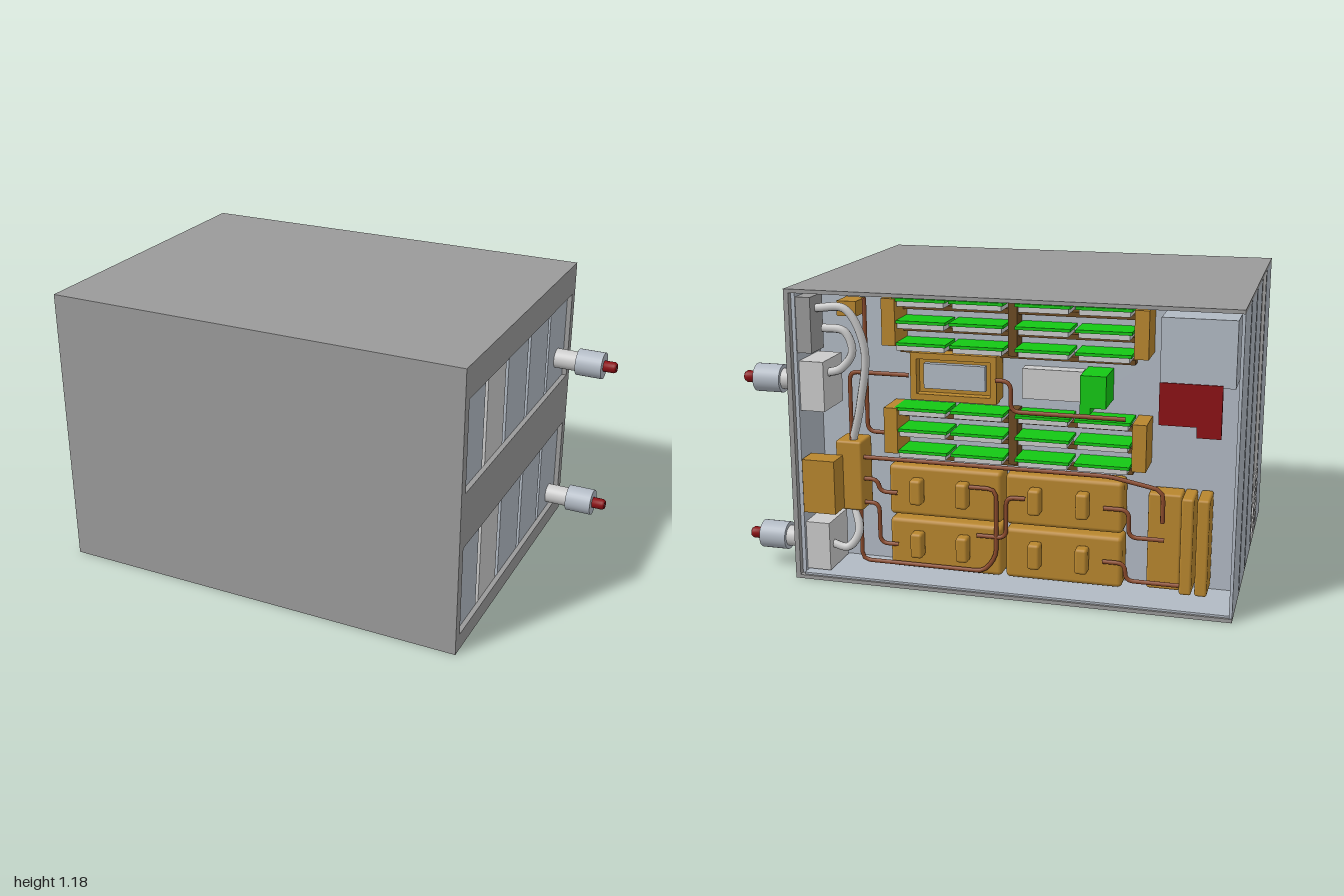
import * as THREE from 'three';
import { RoundedBoxGeometry } from 'three/addons/geometries/RoundedBoxGeometry.js';

const mat = (color) => new THREE.MeshStandardMaterial({ color });

export function createModel() {
  const root = new THREE.Group();
  const M = {
    shell: mat(0x9a9a9a), grey: mat(0xcccccc), steel: mat(0xb2bac4), gold: mat(0xb8862e),
    green: mat(0x14c814), copper: mat(0x8a4a2c), red: mat(0x8b1014), brown: mat(0x6b4a22),
  };
  const add = (name, geo, m, parent = root) => {
    const mesh = new THREE.Mesh(geo, m);
    mesh.name = name;
    parent.add(mesh);
    return mesh;
  };
  // box from its min and max corners, with optional rounding
  const box = (name, m, x0, x1, y0, y1, z0, z1, r = 0) => {
    const s = [x1 - x0, y1 - y0, z1 - z0];
    const g = r ? new RoundedBoxGeometry(...s, 2, r) : new THREE.BoxGeometry(...s);
    return add(name, g.translate((x0 + x1) / 2, (y0 + y1) / 2, (z0 + z1) / 2), m);
  };
  // pipe through a few points, with tight rounded corners
  const pipe = (name, m, pts, r, smooth = false) => {
    const p = pts.map((a) => new THREE.Vector3(...a));
    let curve;
    if (smooth) curve = new THREE.CatmullRomCurve3(p);
    else {
      curve = new THREE.CurvePath();
      let from = p[0];
      for (let i = 1; i < p.length - 1; i++) {
        const a = p[i].clone().add(p[i - 1].clone().sub(p[i]).setLength(0.035));
        const b = p[i].clone().add(p[i + 1].clone().sub(p[i]).setLength(0.035));
        curve.add(new THREE.LineCurve3(from, a));
        curve.add(new THREE.QuadraticBezierCurve3(a, p[i], b));
        from = b;
      }
      curve.add(new THREE.LineCurve3(from, p[p.length - 1]));
    }
    return add(name, new THREE.TubeGeometry(curve, 48, r, 8), m);
  };

  // outer shell: top, bottom, front wall
  const X0 = -1, X1 = 0.755, H = 1.185, D = 0.65, T = 0.015;
  box('topPanel', M.shell, X0, X1, H - T, H, -D, D);
  box('bottomPanel', M.shell, X0, X1, 0, T, -D, D);
  box('frontPanel', M.shell, X0, X1, T, H - T, D - T, D);

  // side frame with two window openings
  const frame = new THREE.Shape([[-D, 0], [D, 0], [D, H], [-D, H]].map((p) => new THREE.Vector2(...p)));
  for (const [a, b] of [[0.07, 0.45], [0.68, 1.055]]) {
    frame.holes.push(new THREE.Path([[-0.61, a], [-0.61, b], [0.61, b], [0.61, a]].map((p) => new THREE.Vector2(...p))));
  }
  const frameGeo = new THREE.ExtrudeGeometry(frame, { depth: 0.02, bevelEnabled: false });
  add('sideFrame', frameGeo.rotateY(Math.PI / 2).translate(X1 - 0.02, 0, 0), M.shell);

  // four closed modules with see-through gaps between them
  const slots = [[0.39, 0.63], [0.165, 0.36], [-0.1, 0.135], [-0.36, -0.13]];
  slots.forEach(([a, b], i) => box('module', i === 1 ? M.grey : M.steel, X0, 0.735, T, H - T, a, b));

  // vent tiles on the second module
  for (let i = 0; i < 3; i++) for (let j = 0; j < 4; j++) {
    const z = 0.178 + i * 0.06, y = 0.06 + j * 0.068;
    box('ventTile', M.grey, X0 - 0.006, X0, y, y + 0.05, z, z + 0.045);
  }

  // open module: back plate, end panels and floor
  box('trayPlate', M.steel, X0, 0.735, T, H - T, -0.395, -0.385);
  box('trayEndPanel', M.steel, X0, X0 + 0.012, T, H - T, -0.645, -0.395);
  box('trayEndPanel', M.steel, 0.72, 0.735, T, H - T, -0.625, -0.395);
  box('trayFloor', M.steel, X0 + 0.012, 0.72, T, T + 0.008, -0.64, -0.395);

  // side connectors: stub, collar, red plug, and the socket behind them
  for (const [y, z] of [[0.795, -0.51], [0.13, -0.525]]) {
    const g = new THREE.Group();
    g.name = 'connector';
    g.position.set(0, y, z);
    root.add(g);
    const ring = (name, m, r, x0, x1) => add(name,
      new THREE.CylinderGeometry(r, r, x1 - x0, 32).rotateZ(-Math.PI / 2).translate((x0 + x1) / 2, 0, 0), m, g);
    ring('stub', M.grey, 0.042, 0.72, 0.832);
    ring('collar', M.steel, 0.057, 0.832, 0.945);
    const plug = [[0, 0.94], [0.024, 0.94], [0.024, 0.99], [0.018, 1], [0.009, 1], [0.009, 0.975], [0, 0.975]];
    add('plug', new THREE.LatheGeometry(plug.map((p) => new THREE.Vector2(...p)), 24).rotateZ(-Math.PI / 2), M.red, g);
    add('plugCore', new THREE.CylinderGeometry(0.009, 0.009, 0.022, 12).rotateZ(Math.PI / 2).translate(0.987, 0, 0), M.grey, g);
    box('socket', M.grey, 0.62, 0.72, y - 0.1, y + 0.1, -0.61, -0.42);
  }
  box('upperSocketCover', M.shell, 0.66, 0.72, 0.93, 1.15, -0.62, -0.5);

  // four gold cold plates with raised handles
  for (const x of [0.4, -0.085]) for (const y of [0.03, 0.255]) {
    box('coldPlate', M.gold, x - 0.47, x, y, y + 0.21, -0.5, -0.395, 0.018);
    for (const dx of [0.1, 0.29]) box('plateHandle', M.gold, x - dx - 0.05, x - dx, y + 0.06, y + 0.165, -0.55, -0.495, 0.012);
  }

  // two stacks of green cards over pale carriers
  for (const y0 of [0.525, 0.96]) {
    for (let r = 0; r < 3; r++) {
      const y = y0 + r * 0.087;
      for (const x of [0.36, 0.13, -0.13, -0.365]) {
        box('card', M.green, x - 0.215, x, y, y + 0.012, -0.53, -0.4);
        box('cardCarrier', M.grey, x - 0.205, x - 0.01, y - 0.022, y, -0.515, -0.4);
      }
      box('cardRail', M.brown, -0.58, 0.36, y - 0.045, y - 0.025, -0.44, -0.395);
    }
    for (const x of [0.4, -0.59]) box('stackEndBlock', M.gold, x - 0.055, x, y0, y0 + 0.185, -0.54, -0.395);
    box('stackCentreBlock', M.brown, -0.125, -0.09, y0 - 0.03, y0 + 0.19, -0.47, -0.395);
  }

  // framed unit, pale box and green block between the stacks
  box('frameBase', M.gold, -0.05, 0.3, 0.74, 0.93, -0.46, -0.395, 0.01);
  for (const y of [0.74, 0.905]) box('frameBar', M.gold, -0.05, 0.3, y, y + 0.025, -0.5, -0.45);
  for (const x of [-0.05, 0.275]) box('frameBar', M.gold, x, x + 0.025, 0.74, 0.93, -0.5, -0.45);
  box('frameScreen', M.steel, 0.0, 0.25, 0.785, 0.885, -0.485, -0.45);
  box('paleBox', M.grey, -0.38, -0.14, 0.76, 0.88, -0.45, -0.395);
  box('greenBlock', M.green, -0.49, -0.39, 0.765, 0.89, -0.55, -0.395);
  box('greenBlockFoot', M.green, -0.43, -0.39, 0.74, 0.765, -0.55, -0.395);

  // power unit with a red board below it
  box('powerUnit', M.steel, -0.975, -0.7, 0.89, 1.14, -0.62, -0.395);
  box('redBoard', M.red, -0.93, -0.7, 0.74, 0.9, -0.625, -0.61);
  box('redBoardTab', M.red, -0.93, -0.84, 0.7, 0.74, -0.625, -0.61);

  // gold manifolds at both ends
  box('manifold', M.gold, -0.78, -0.65, 0.04, 0.43, -0.49, -0.395, 0.01);
  for (const x of [-0.83, -0.89]) box('manifoldBlock', M.gold, x, x + 0.048, 0.04, 0.43, -0.53, -0.395, 0.01);
  box('sideManifold', M.gold, 0.5, 0.61, 0.27, 0.56, -0.54, -0.42, 0.01);
  box('pumpBlock', M.gold, 0.58, 0.715, 0.28, 0.5, -0.635, -0.54);
  box('upperBracket', M.gold, 0.52, 0.6, 1.06, 1.12, -0.5, -0.395);

  // copper pipes
  const Z = -0.51;
  const runs = [
    [[0.55, 0.49, Z], [-0.5, 0.49, Z], [-0.71, 0.45, Z], [-0.71, 0.32, Z]],
    [[0.55, 0.4, Z], [0.44, 0.4, Z], [0.44, 0.35, Z], [0.36, 0.35, Z]],
    [[0.55, 0.3, Z], [0.44, 0.3, Z], [0.44, 0.13, Z], [0.36, 0.13, Z]],
    [[0.52, 0.28, Z], [0.52, 0.05, Z], [0.0, 0.05, Z], [-0.05, 0.12, Z], [-0.05, 0.4, Z], [0.06, 0.4, Z]],
    [[0.03, 0.2, Z], [-0.09, 0.2, Z], [-0.09, 0.37, Z], [-0.17, 0.37, Z]],
    [[-0.48, 0.36, Z], [-0.58, 0.36, Z], [-0.58, 0.25, Z], [-0.72, 0.25, Z]],
    [[-0.48, 0.14, Z], [-0.57, 0.14, Z], [-0.57, 0.07, Z], [-0.8, 0.07, Z]],
    [[0.55, 0.55, Z], [0.55, 0.84, Z], [0.3, 0.84, Z]],
    [[0.48, 1.14, Z], [0.48, 0.6, Z], [0.4, 0.6, Z]],
    [[-0.05, 0.84, Z], [-0.11, 0.84, Z], [-0.11, 0.72, Z], [-0.56, 0.72, Z]],
  ];
  for (const pts of runs) pipe('copperPipe', M.copper, pts, 0.009);

  // flexible grey hoses
  pipe('hose', M.grey, [[0.63, 0.84, -0.55], [0.57, 0.86, -0.55], [0.52, 0.93, -0.55], [0.55, 1.01, -0.55], [0.64, 1.02, -0.55]], 0.017, true);
  pipe('hose', M.grey, [[0.66, 1.1, -0.56], [0.54, 1.1, -0.56], [0.47, 0.95, -0.55], [0.5, 0.72, -0.53], [0.55, 0.55, -0.5]], 0.017, true);
  pipe('hose', M.grey, [[0.63, 0.13, -0.56], [0.56, 0.12, -0.56], [0.52, 0.18, -0.54], [0.55, 0.28, -0.5]], 0.017, true);

  return root;
}
